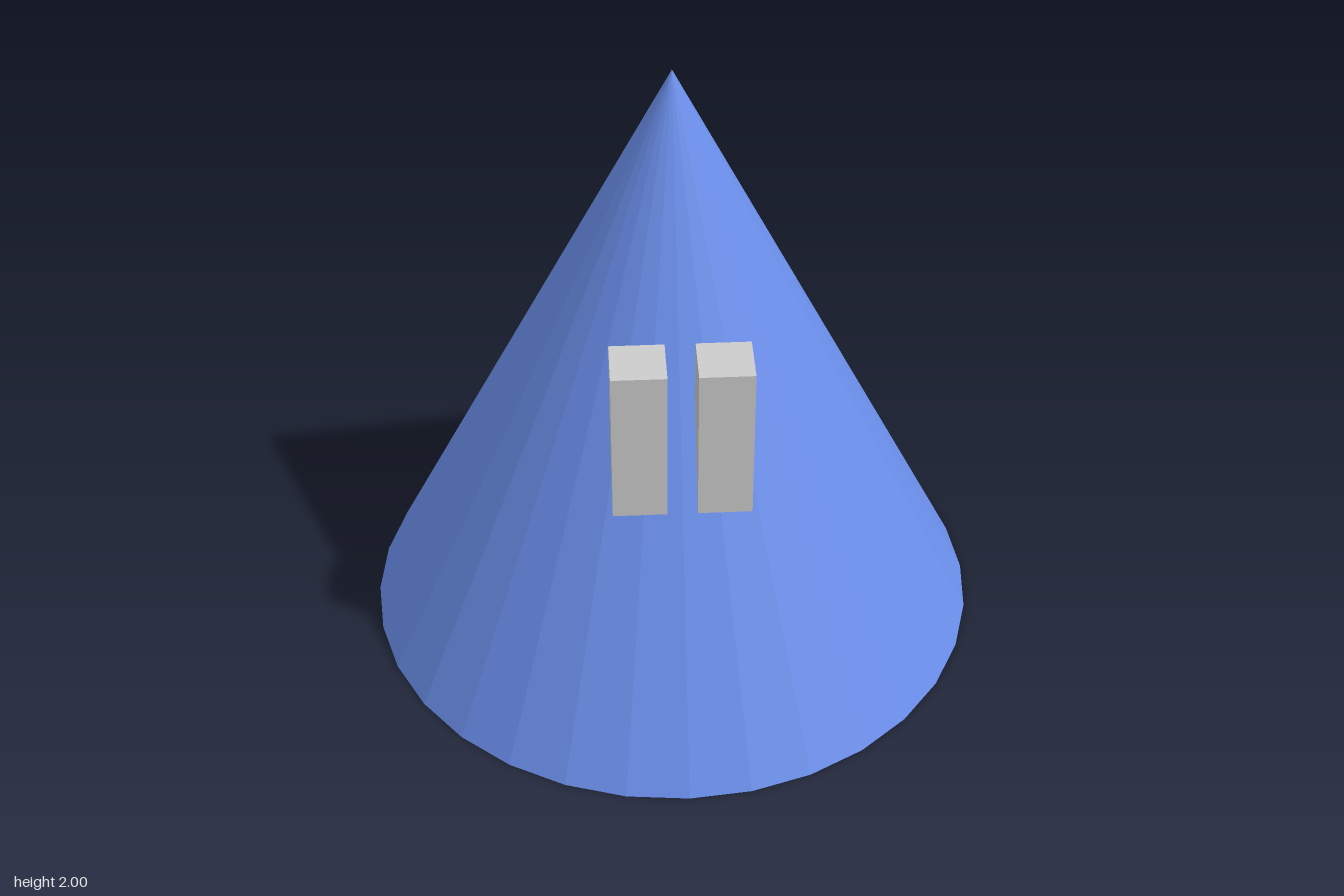
import * as THREE from 'three';

export function createModel() {
  const model = new THREE.Group();
  const blue = new THREE.MeshStandardMaterial({ color: 0x6a8eea, flatShading: true });
  const grey = new THREE.MeshStandardMaterial({ color: 0xcccccc, flatShading: true });

  // faceted cone with a closed base
  const cone = new THREE.Mesh(new THREE.ConeGeometry(1, 2, 32), blue);
  cone.name = 'coneBody';
  cone.position.y = 1;
  model.add(cone);

  // pair of upright blocks, partly sunk into the front slope
  const blockGeometry = new THREE.BoxGeometry(0.165, 0.515, 0.165);
  for (const side of [-1, 1]) {
    const block = new THREE.Mesh(blockGeometry, grey);
    block.name = side > 0 ? 'leftBlock' : 'rightBlock';
    block.position.set(side * 0.128, 1.074, 0.518);
    model.add(block);
  }
  return model;
}
